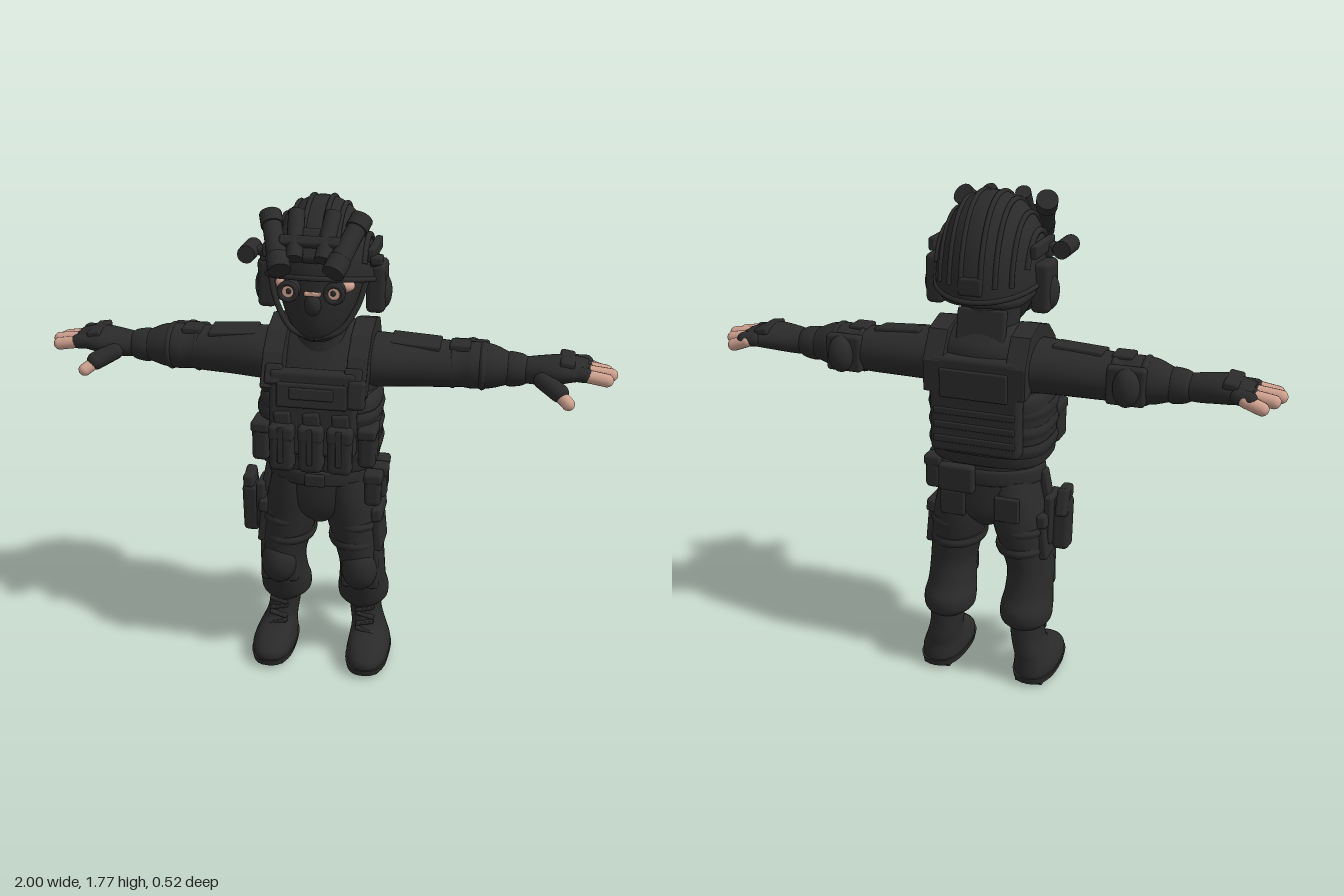
import * as THREE from 'three';
import { RoundedBoxGeometry } from 'three/addons/geometries/RoundedBoxGeometry.js';

const V = (x, y, z) => new THREE.Vector3(x, y, z);

export function createModel() {
  const root = new THREE.Group();
  root.name = 'tacticalTrooper';
  const black = new THREE.MeshStandardMaterial({ color: 0x2a2a2b, side: THREE.DoubleSide });
  black.name = 'black gear';
  const skin = new THREE.MeshStandardMaterial({ color: 0xcfa18f });
  skin.name = 'skin';

  const add = (name, geo, mat = black) => {
    const m = new THREE.Mesh(geo, mat);
    m.name = name;
    root.add(m);
  };
  // Copy reflected to the other side, with its faces turned the right way round
  const reflect = (geo) => {
    const g = geo.clone().scale(-1, 1, 1);
    const src = g.index ? Array.from(g.index.array) : Array.from({ length: g.attributes.position.count }, (_, i) => i);
    for (let i = 0; i < src.length; i += 3) [src[i + 1], src[i + 2]] = [src[i + 2], src[i + 1]];
    g.setIndex(src);
    return g;
  };
  const pair = (name, geo, mat) => {
    add(name + 'Left', geo, mat);
    add(name + 'Right', reflect(geo), mat);
  };
  const box = (w, h, d, x, y, z, rx = 0, ry = 0, rz = 0) =>
    new RoundedBoxGeometry(w, h, d, 2, Math.min(w, h, d) * 0.3)
      .rotateX(rx).rotateY(ry).rotateZ(rz).translate(x, y, z);
  const ball = (rx, ry, rz, x, y, z) => new THREE.SphereGeometry(1, 24, 16).scale(rx, ry, rz).translate(x, y, z);
  const rod = (a, b, r0, r1 = r0) => {
    const d = b.clone().sub(a);
    const q = new THREE.Quaternion().setFromUnitVectors(V(0, 1, 0), d.clone().normalize());
    return new THREE.CylinderGeometry(r1, r0, d.length(), 20).applyQuaternion(q).translate(...a.clone().add(b).multiplyScalar(0.5).toArray());
  };
  const capsule = (a, b, r) => {
    const d = b.clone().sub(a);
    const q = new THREE.Quaternion().setFromUnitVectors(V(0, 1, 0), d.clone().normalize());
    return new THREE.CapsuleGeometry(r, d.length() - 2 * r, 6, 14).applyQuaternion(q).translate(...a.clone().add(b).multiplyScalar(0.5).toArray());
  };
  const tube = (pts, r, closed = false) =>
    new THREE.TubeGeometry(new THREE.CatmullRomCurve3(pts, closed), 40, r, 8, closed);

  // Smooth loft. Axis y: rows [y, x, z, rx, rz]. Axis x: rows [x, z, y, rz, ry].
  const loft = (rows, { axis = 'y', pow = 1, smooth = 4, n = 32 } = {}) => {
    const c = new THREE.CatmullRomCurve3(rows.map((r) => V(r[0], r[1], r[2])), false, 'catmullrom');
    const s = new THREE.CatmullRomCurve3(rows.map((r) => V(r[3], r[4], 0)), false, 'catmullrom');
    const steps = (rows.length - 1) * smooth, pos = [], idx = [];
    const put = (t, a, b) => (axis === 'y' ? pos.push(a, t, b) : pos.push(t, b, a));
    const bend = (v) => Math.sign(v) * Math.abs(v) ** pow;
    const ring = (u) => {
      const p = c.getPoint(u), q = s.getPoint(u);
      for (let j = 0; j < n; j++) {
        const a = (j / n) * Math.PI * 2;
        put(p.x, p.y + q.x * bend(Math.cos(a)), p.z + q.y * bend(Math.sin(a)));
      }
      return p;
    };
    for (let i = 0; i <= steps; i++) ring(i / steps);
    for (let i = 0; i < steps; i++) for (let j = 0; j < n; j++) {
      const k = (j + 1) % n, a = i * n + j, b = i * n + k;
      idx.push(a, a + n, b, b, a + n, b + n);
    }
    for (const end of [0, 1]) {
      const o = pos.length / 3, p = ring(end);
      put(p.x, p.y, p.z);
      for (let j = 0; j < n; j++) {
        const k = (j + 1) % n;
        idx.push(o + n, o + (end ? k : j), o + (end ? j : k));
      }
    }
    const g = new THREE.BufferGeometry();
    g.setAttribute('position', new THREE.Float32BufferAttribute(pos, 3));
    g.setIndex(idx);
    g.computeVertexNormals();
    return g;
  };

  // Head, mask and neck
  add('maskedHead', loft([[1.3, 0, 0.04, 0.05, 0.05], [1.33, 0, 0.02, 0.085, 0.095], [1.38, 0, 0, 0.115, 0.128],
    [1.45, 0, -0.02, 0.14, 0.152], [1.53, 0, -0.03, 0.15, 0.158], [1.62, 0, -0.04, 0.14, 0.15]]));
  add('maskNose', ball(0.03, 0.04, 0.03, 0, 1.44, 0.118));
  add('neck', loft([[1.22, 0, -0.07, 0.13, 0.11], [1.3, 0, -0.065, 0.1, 0.1], [1.36, 0, -0.055, 0.1, 0.1], [1.46, 0, -0.05, 0.11, 0.11]]));
  add('collarBack', box(0.17, 0.13, 0.03, 0, 1.325, -0.15, 0.2));
  add('noseBridge', box(0.055, 0.013, 0.02, 0, 1.478, 0.132), skin);
  pair('eyeSkin', ball(0.032, 0.022, 0.03, 0.1, 1.5, 0.088), skin);
  pair('goggleBarrel', rod(V(0.072, 1.49, 0.09), V(0.076, 1.49, 0.155), 0.034));
  pair('goggleRim', new THREE.TorusGeometry(0.028, 0.009, 10, 24).translate(0.076, 1.49, 0.158));
  pair('eyelid', new THREE.CylinderGeometry(0.02, 0.02, 0.008, 20).rotateX(Math.PI / 2).translate(0.075, 1.49, 0.155), skin);
  pair('pupil', ball(0.009, 0.009, 0.005, 0.073, 1.492, 0.16));

  // Helmet: dome whose rim drops toward the back
  const dome = (x, y, z, k = 1) => {
    const rim = 1.49 + 0.05 * z;
    return V(x * 0.186 * k, rim + (1.762 - rim) * y * k, -0.045 + z * 0.212 * k);
  };
  const shell = new THREE.SphereGeometry(1, 48, 20, 0, Math.PI * 2, 0, Math.PI / 2);
  const sp = shell.attributes.position;
  for (let i = 0; i < sp.count; i++) sp.setXYZ(i, ...dome(sp.getX(i), sp.getY(i), sp.getZ(i)).toArray());
  shell.computeVertexNormals();
  add('helmetShell', shell);
  add('helmetRim', tube(Array.from({ length: 24 }, (_, i) => dome(Math.sin(i * Math.PI / 12), 0, Math.cos(i * Math.PI / 12))), 0.009, true));
  const arc = (c, a0, a1) => Array.from({ length: 13 }, (_, i) => {
    const a = a0 + (a1 - a0) * i / 12, r = Math.sqrt(1 - c * c);
    return dome(c, r * Math.sin(a), r * Math.cos(a));
  });
  for (const c of [0.18, 0.42, 0.66]) pair('helmetRidge', tube(arc(c, 0.5, 3), 0.009));
  pair('helmetRail', box(0.025, 0.045, 0.19, 0.176, 1.59, -0.05));
  pair('railClip', box(0.03, 0.035, 0.06, 0.184, 1.565, 0.0));
  pair('helmetSideBand', tube(arc(0.84, 0.4, 2.7), 0.011));
  pair('earCup', box(0.065, 0.17, 0.115, 0.185, 1.465, -0.055));
  pair('earCupCover', ball(0.03, 0.06, 0.045, 0.205, 1.445, -0.055));
  pair('chinStrap', tube([V(0.165, 1.52, 0.03), V(0.135, 1.42, 0.06), V(0.08, 1.34, 0.085), V(0, 1.315, 0.1)], 0.01));
  pair('rearStrap', tube([V(0.17, 1.46, -0.1), V(0.12, 1.42, -0.15), V(0, 1.41, -0.17)], 0.014));
  add('helmetLight', rod(V(-0.235, 1.58, -0.04), V(-0.235, 1.58, 0.07), 0.03));
  add('lightMount', box(0.06, 0.03, 0.05, -0.2, 1.58, 0));
  add('railKnob', box(0.04, 0.03, 0.05, 0.195, 1.575, 0.03));
  add('helmetBackDial', box(0.08, 0.06, 0.03, 0, 1.49, -0.245));

  // Raised night vision tubes
  add('visionMount', box(0.075, 0.11, 0.05, 0, 1.64, 0.14, -0.55));
  add('visionBridge', box(0.2, 0.035, 0.05, 0, 1.655, 0.16, -0.6));
  const hi = V(0.148, 1.715, 0.075), lo = V(0.09, 1.59, 0.222);
  pair('visionTube', rod(hi, lo, 0.031, 0.034));
  pair('visionEyepiece', rod(hi.clone().lerp(lo, 0.8), hi.clone().lerp(lo, 1.08), 0.037));
  pair('visionLens', rod(hi.clone().lerp(lo, -0.03), hi.clone().lerp(lo, 0.2), 0.037));
  pair('visionInnerTube', rod(V(0.06, 1.735, 0.085), V(0.045, 1.61, 0.2), 0.027));

  // Torso and vest
  add('shirt', loft([[0.78, 0, -0.04, 0.175, 0.13], [0.95, 0, -0.04, 0.18, 0.14], [1.12, 0, -0.05, 0.2, 0.145],
    [1.2, 0, -0.07, 0.215, 0.135], [1.26, 0, -0.085, 0.2, 0.115], [1.3, 0, -0.085, 0.15, 0.09], [1.33, 0, -0.075, 0.1, 0.08]]));
  add('vestWrap', loft([[0.84, 0, -0.025, 0.19, 0.15], [0.86, 0, -0.025, 0.207, 0.165], [0.98, 0, -0.03, 0.212, 0.17],
    [1.08, 0, -0.04, 0.21, 0.17], [1.11, 0, -0.04, 0.19, 0.155]], { pow: 0.65 }));
  for (const y of [0.91, 0.975, 1.04]) add('vestBand', loft([[y - 0.022, 0, -0.03, 0.213, 0.172], [y, 0, -0.03, 0.218, 0.178], [y + 0.022, 0, -0.03, 0.213, 0.172]], { pow: 0.65 }));
  add('chestPlate', box(0.3, 0.3, 0.06, 0, 1.06, 0.125, -0.08));
  add('chestPanel', box(0.24, 0.085, 0.025, 0, 1.13, 0.152, -0.1));
  add('chestPatch', box(0.15, 0.04, 0.02, 0, 1.14, 0.163, -0.1));
  add('backPlate', box(0.32, 0.34, 0.06, 0, 1.07, -0.2));
  add('backPanel', box(0.24, 0.1, 0.02, 0, 1.15, -0.23));
  for (const y of [0.95, 1.0, 1.05]) add('backWebbing', box(0.29, 0.024, 0.015, 0, y, -0.229));
  const strap = new THREE.Shape([[0.14, 1.15], [0.085, 1.25], [0.02, 1.305], [-0.08, 1.335], [-0.17, 1.31], [-0.225, 1.22],
    [-0.225, 1.12], [-0.18, 1.12], [-0.08, 1.25], [0.02, 1.22], [0.1, 1.12]].map((p) => new THREE.Vector2(...p)));
  pair('shoulderStrap', new THREE.ExtrudeGeometry(strap, { depth: 0.06, bevelSize: 0.006, bevelThickness: 0.006, bevelSegments: 2 })
    .rotateY(-Math.PI / 2).translate(0.175, 0, 0));
  pair('strapBuckle', box(0.06, 0.07, 0.03, 0.135, 1.19, 0.125, -0.45));
  add('radioHandset', box(0.06, 0.1, 0.04, 0.15, 1.14, 0.14, -0.2));
  for (const x of [-0.1, 0, 0.1]) {
    add('magazinePouch', box(0.085, 0.16, 0.07, x, 0.94, 0.16));
    add('pouchFlap', box(0.09, 0.06, 0.078, x, 1.0, 0.158));
    add('magazineTop', box(0.06, 0.06, 0.035, x, 1.04, 0.15, 0, 0, 0.1));
    add('pouchStrap', box(0.02, 0.13, 0.012, x, 0.96, 0.196));
  }
  pair('sidePouch', box(0.06, 0.14, 0.1, 0.185, 0.94, 0.09));
  pair('sidePouchFlap', box(0.066, 0.04, 0.108, 0.185, 0.995, 0.09));

  // Arms, elbow pads and sleeves
  pair('sleeve', loft([[0.12, -0.075, 1.195, 0.13, 0.095], [0.22, -0.075, 1.195, 0.118, 0.09], [0.32, -0.083, 1.193, 0.105, 0.085],
    [0.42, -0.088, 1.19, 0.093, 0.08], [0.48, -0.09, 1.19, 0.085, 0.077], [0.52, -0.09, 1.19, 0.088, 0.08], [0.58, -0.09, 1.19, 0.077, 0.075],
    [0.63, -0.09, 1.187, 0.06, 0.058], [0.66, -0.09, 1.185, 0.05, 0.05]], { axis: 'x' }));
  pair('elbowPad', ball(0.045, 0.065, 0.045, 0.505, 1.19, -0.185));
  pair('elbowPadBase', box(0.13, 0.13, 0.04, 0.5, 1.19, -0.165));
  for (const x of [0.45, 0.55]) pair('elbowStrap', loft([[x - 0.012, -0.09, 1.19, 0.083, 0.078], [x, -0.09, 1.19, 0.09, 0.084], [x + 0.012, -0.09, 1.19, 0.083, 0.078]], { axis: 'x' }));
  pair('sleevePocket', box(0.17, 0.02, 0.1, 0.32, 1.268, -0.075, 0.1, 0, -0.06));
  pair('sleeveFlap', box(0.07, 0.025, 0.08, 0.47, 1.262, -0.08));
  // Gloves and bare fingers
  pair('gloveCuff', loft([[0.62, -0.09, 1.185, 0.05, 0.05], [0.64, -0.09, 1.185, 0.06, 0.06], [0.68, -0.09, 1.185, 0.056, 0.055], [0.7, -0.09, 1.185, 0.047, 0.045]], { axis: 'x' }));
  pair('glovePalm', loft([[0.68, -0.09, 1.185, 0.045, 0.043], [0.73, -0.088, 1.188, 0.06, 0.048], [0.8, -0.09, 1.195, 0.08, 0.047],
    [0.85, -0.1, 1.197, 0.085, 0.04], [0.9, -0.107, 1.195, 0.08, 0.027]], { axis: 'x' }));
  pair('knuckleGuard', box(0.05, 0.025, 0.14, 0.83, 1.228, -0.1, 0, 0, -0.15));
  pair('gloveThumb', capsule(V(0.73, 1.185, -0.05), V(0.835, 1.135, 0.025), 0.032));
  pair('thumb', capsule(V(0.8, 1.15, 0.0), V(0.857, 1.112, 0.052), 0.022), skin);
  [[-0.178, 0.955, 1.165], [-0.132, 0.985, 1.18], [-0.088, 1.0, 1.185], [-0.043, 0.985, 1.18]].forEach(([z, x, y]) => {
    pair('fingerSleeve', capsule(V(0.83, 1.2, z * 0.85 - 0.01), V(0.918, 1.195, z), 0.026));
    pair('finger', capsule(V(0.86, 1.2, z), V(x, y, z), 0.0225), skin);
  });

  // Trousers, belt and knee pads
  add('hips', loft([[0.6, 0, -0.05, 0.05, 0.09], [0.65, 0, -0.05, 0.14, 0.122], [0.72, 0, -0.045, 0.178, 0.13], [0.84, 0, -0.04, 0.178, 0.13]]));
  add('belt', loft([[0.765, 0, -0.04, 0.18, 0.132], [0.775, 0, -0.04, 0.19, 0.142], [0.815, 0, -0.04, 0.19, 0.142], [0.825, 0, -0.04, 0.18, 0.132]]));
  add('beltBuckle', box(0.07, 0.045, 0.02, 0, 0.795, 0.104));
  pair('trouserLeg', loft([[0.22, 0.15, -0.1, 0.062, 0.075], [0.245, 0.148, -0.1, 0.09, 0.098], [0.29, 0.148, -0.092, 0.094, 0.108], [0.34, 0.148, -0.07, 0.086, 0.104],
    [0.42, 0.148, -0.05, 0.083, 0.107], [0.5, 0.135, -0.05, 0.09, 0.115], [0.6, 0.115, -0.055, 0.1, 0.125], [0.7, 0.1, -0.05, 0.096, 0.13], [0.78, 0.09, -0.04, 0.088, 0.12]]));
  pair('kneePad', ball(0.066, 0.085, 0.06, 0.15, 0.415, 0.02));
  pair('kneePadRim', box(0.14, 0.17, 0.05, 0.15, 0.415, 0.005));
  pair('thighPocket', box(0.03, 0.16, 0.15, 0.208, 0.57, -0.05, 0, 0, 0.1));
  pair('thighPocketFlap', box(0.036, 0.05, 0.158, 0.207, 0.635, -0.05, 0, 0, 0.1));
  pair('rearPocket', box(0.09, 0.09, 0.02, 0.1, 0.69, -0.176));
  for (const y of [0.52, 0.595]) pair('thighStrap', loft([[y - 0.016, 0.124, -0.054, 0.094, 0.12], [y, 0.124, -0.054, 0.1, 0.127], [y + 0.016, 0.122, -0.054, 0.096, 0.122]]));
  for (const z of [0.055, -0.015, -0.085]) {
    add('hipPouch', box(0.06, 0.12, 0.062, 0.212 - Math.abs(z + 0.03) * 0.15, 0.76, z));
    add('hipPouchFlap', box(0.066, 0.04, 0.066, 0.213 - Math.abs(z + 0.03) * 0.15, 0.805, z));
  }
  add('rearPouch', box(0.13, 0.1, 0.04, 0.08, 0.79, -0.185));
  // Holster on the right thigh
  add('holsterPlate', box(0.03, 0.18, 0.11, -0.22, 0.63, -0.04));
  add('holster', box(0.06, 0.19, 0.075, -0.26, 0.61, -0.035, 0.08));
  add('pistolGrip', box(0.04, 0.1, 0.05, -0.268, 0.7, -0.07, 0.35));
  add('pistolSlide', box(0.04, 0.05, 0.08, -0.265, 0.72, -0.03));
  add('holsterHanger', box(0.025, 0.13, 0.05, -0.2, 0.74, -0.04, 0, 0, -0.2));

  // Boots
  pair('boot', loft([[0.02, 0.18, -0.035, 0.076, 0.15], [0.06, 0.18, -0.035, 0.079, 0.15], [0.095, 0.176, -0.055, 0.07, 0.128], [0.13, 0.168, -0.095, 0.06, 0.09],
    [0.18, 0.158, -0.105, 0.057, 0.077], [0.26, 0.152, -0.102, 0.06, 0.078]], { pow: 0.85 }));
  pair('bootSole', loft([[0.012, 0.18, -0.035, 0.077, 0.152], [0.036, 0.18, -0.035, 0.082, 0.157]], { pow: 0.8 }));
  for (let i = 0; i < 6; i++) for (const x of [0.15, 0.21]) pair('soleTread', box(0.045, 0.024, 0.03, x, 0.012, 0.07 - i * 0.044));
  for (let i = 0; i < 4; i++) pair('bootLace', box(0.07, 0.012, 0.02, 0.165, 0.13 + i * 0.028, -0.012 - Math.min(i, 2) * 0.008, 0, 0, i % 2 ? 0.25 : -0.25));
  return root;
}
